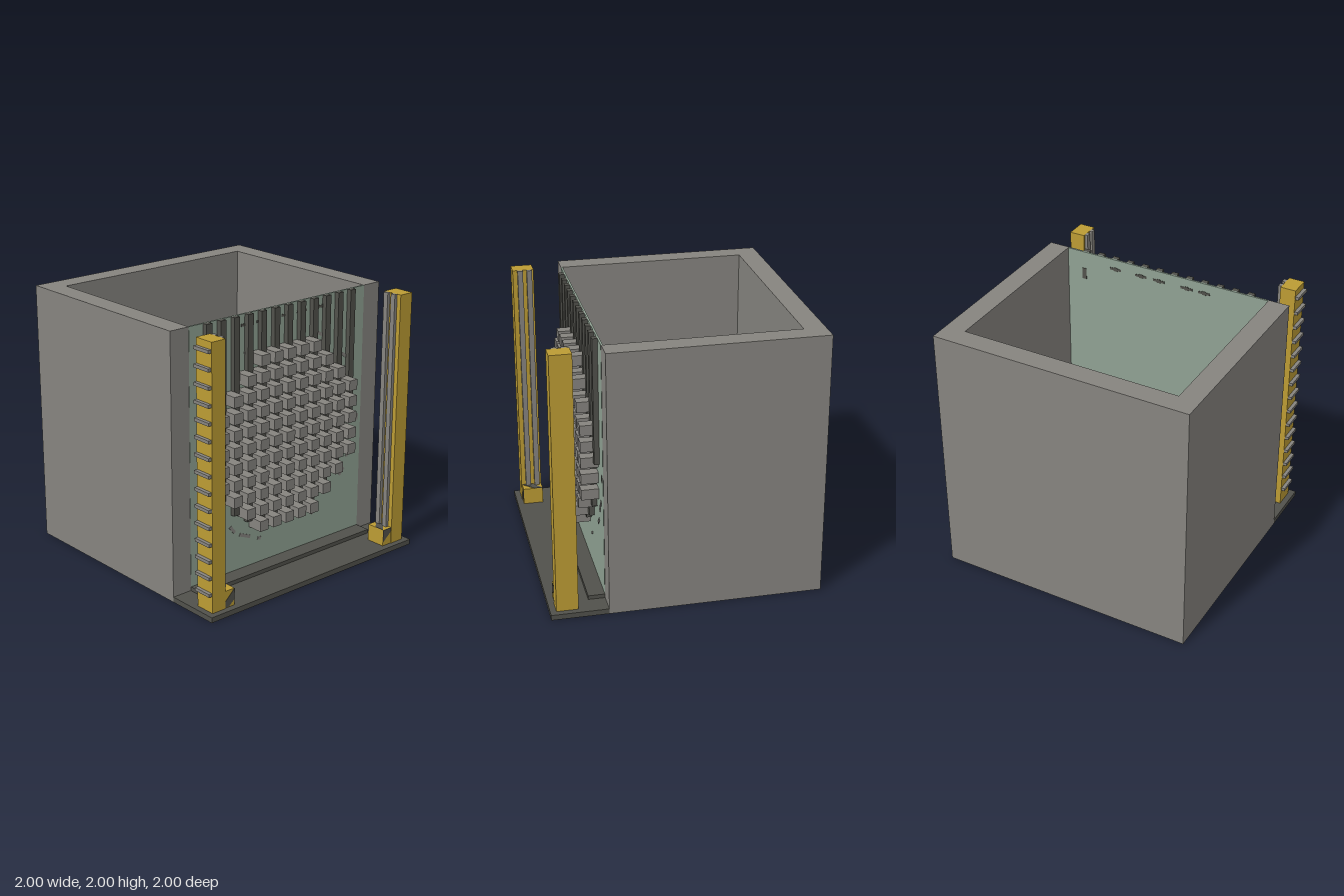
import * as THREE from 'three';

const mat = (name, color) => {
  const m = new THREE.MeshStandardMaterial({ color });
  m.name = name;
  return m;
};

export function createModel() {
  const root = new THREE.Group();
  root.name = 'blockFrontedTank';
  const gray = mat('stone gray', 0x86847f);
  const dark = mat('charcoal', 0x51514b);
  const gold = mat('gold', 0xbc9c34);
  const green = mat('sage green', 0x90a293);
  const purple = mat('purple', 0x7f2b70);

  const group = (name, parent = root) => {
    const g = new THREE.Group();
    g.name = name;
    parent.add(g);
    return g;
  };
  // Box given by its limits on each axis
  const box = (name, material, [x0, x1], [y0, y1], [z0, z1], parent = root) => {
    const m = new THREE.Mesh(new THREE.BoxGeometry(x1 - x0, y1 - y0, z1 - z0), material);
    m.position.set((x0 + x1) / 2, (y0 + y1) / 2, (z0 + z1) / 2);
    m.name = name;
    parent.add(m);
    return m;
  };
  // Thin plate cut to an outline in x and y
  const plate = (name, material, points, z, depth, parent = root) => {
    const shape = new THREE.Shape(points.map(([x, y]) => new THREE.Vector2(x, y)));
    const m = new THREE.Mesh(new THREE.ExtrudeGeometry(shape, { depth, bevelEnabled: false }), material);
    m.position.z = z;
    m.name = name;
    parent.add(m);
    return m;
  };

  // Open-topped shell
  const shell = group('shell');
  box('rightWall', gray, [-1, -0.84], [0, 2], [-1, 0.58], shell);
  box('leftWall', gray, [0.84, 1], [0, 2], [-1, 0.58], shell);
  box('backWall', gray, [-0.84, 0.84], [0, 2], [-1, -0.84], shell);
  box('floor', gray, [-0.84, 0.84], [0, 0.06], [-0.84, 0.58], shell);

  // Front panel, base plate and sill
  box('frontPanel', green, [-0.84, 0.84], [0.06, 2], [0.568, 0.582]);
  box('basePlate', dark, [-1, 1], [0, 0.04], [0.58, 1]);
  box('sill', dark, [-0.84, 0.84], [0.04, 0.07], [0.58, 0.705]);

  // Vertical bars, longest in the middle
  const pitch = 0.1254;
  const bars = group('verticalBars');
  const barBottoms = [0.365, 0.37, 0.44, 0.52, 0.66, 1.05];
  barBottoms.forEach((bottom, i) => {
    for (const s of [-1, 1]) {
      const x = s * (i + 0.5) * pitch;
      box('verticalBar', dark, [x - 0.025, x + 0.025], [bottom, 2], [0.58, 0.62], bars);
    }
  });

  // Round field of protruding blocks
  const blocks = group('blocks');
  [2, 3, 4, 5, 5, 5, 5, 5, 4, 3, 2].forEach((reach, row) => {
    const y = 0.42 + row * 0.1255;
    for (let i = -reach; i <= reach; i++) {
      const x = i * pitch;
      box('block', gray, [x - 0.04, x + 0.04], [y - 0.04, y + 0.04], [0.58, 0.71], blocks);
    }
  });

  // Slots near the top, passing through the panel
  const slots = group('slots');
  for (const x of [-0.325, -0.18, 0.055, 0.205, 0.425]) {
    box('slot', dark, [x - 0.048, x + 0.048], [1.911, 1.929], [0.565, 0.585], slots);
    box('slotNub', dark, [x - 0.015, x + 0.015], [1.905, 1.935], [0.565, 0.585], slots);
  }
  box('innerSlot', dark, [0.68, 0.715], [1.77, 1.86], [0.564, 0.568], slots);

  // Small flecks in a ring round the block field: x, y, length, tilt
  const flecks = group('flecks');
  [
    [0.42, 1.7, 0.14, -0.5], [-0.32, 1.72, 0.05, 0.4], [0.65, 1.5, 0.06, -0.6], [-0.62, 1.51, 0.06, 0.6],
    [-0.76, 1.22, 0.03, 1.2], [0.8, 0.98, 0.05, 1.5], [0.75, 0.76, 0.05, 1.1], [0.71, 0.7, 0.05, 1.1],
    [0.65, 0.57, 0.07, 0.8], [0.36, 0.32, 0.05, 0.5], [-0.45, 0.4, 0.07, -0.9], [-0.33, 0.32, 0.11, -0.4],
    [-0.19, 0.26, 0.03, -0.2], [-0.62, 0.57, 0.07, -0.8], [-0.7, 0.69, 0.04, -1],
  ].forEach(([x, y, len, tilt]) => {
    const f = box('fleck', gray, [x - len / 2, x + len / 2], [y - 0.012, y + 0.012], [0.582, 0.586], flecks);
    f.rotation.z = tilt;
  });

  // Painted patch in the lower corner
  const patch = group('paintedPatch');
  box('patchGround', gold, [-0.75, -0.545], [0.215, 0.415], [0.582, 0.587], patch);
  plate('patchBlotch', purple, [
    [-0.69, 0.215], [-0.63, 0.215], [-0.62, 0.265], [-0.58, 0.28], [-0.548, 0.262], [-0.548, 0.35], [-0.6, 0.33],
    [-0.63, 0.345], [-0.63, 0.39], [-0.67, 0.4], [-0.71, 0.38], [-0.71, 0.345], [-0.68, 0.31], [-0.715, 0.27],
  ], 0.587, 0.003, patch);

  // Front posts with an inner rail and a foot block
  for (const s of [-1, 1]) {
    const post = group(s < 0 ? 'rightPost' : 'leftPost');
    const span = (a, b) => (s < 0 ? [-b, -a] : [a, b]);
    box('post', gold, span(0.835, 0.955), [0.04, 2], [0.795, 0.955], post);
    box('innerRail', gray, span(0.81, 0.835), [0.17, 2], [0.81, 0.85], post);
    box('innerRail', gray, span(0.81, 0.835), [0.17, 2], [0.88, 0.92], post);
    box('foot', gold, span(0.75, 0.835), [0.04, 0.17], [0.795, 0.95], post);
    // Dark diagonal bands on the front and top of the foot
    const outline = s < 0
      ? [[-0.835, 0.045], [-0.8, 0.045], [-0.75, 0.09], [-0.75, 0.17], [-0.835, 0.09]]
      : [[0.75, 0.07], [0.835, 0.14], [0.835, 0.17], [0.75, 0.17]];
    plate('footBand', dark, outline, 0.95, 0.003, post);
    const top = plate('footTopBand', dark, [[0, 0], [0.085, 0.085], [0.085, 0.15], [0, 0.08]], 0, 0.003, post);
    top.rotation.x = -Math.PI / 2;
    top.position.set(s < 0 ? -0.835 : 0.75, 0.17, 0.948);
  }

  // Row of clips on the outside of the right post
  const clips = group('clips');
  for (let i = 0; i < 15; i++) {
    const y = 0.18 + i * 0.1254;
    box('clip', gray, [-0.982, -0.955], [y - 0.012, y + 0.012], [0.8, 0.95], clips);
  }

  return root;
}
